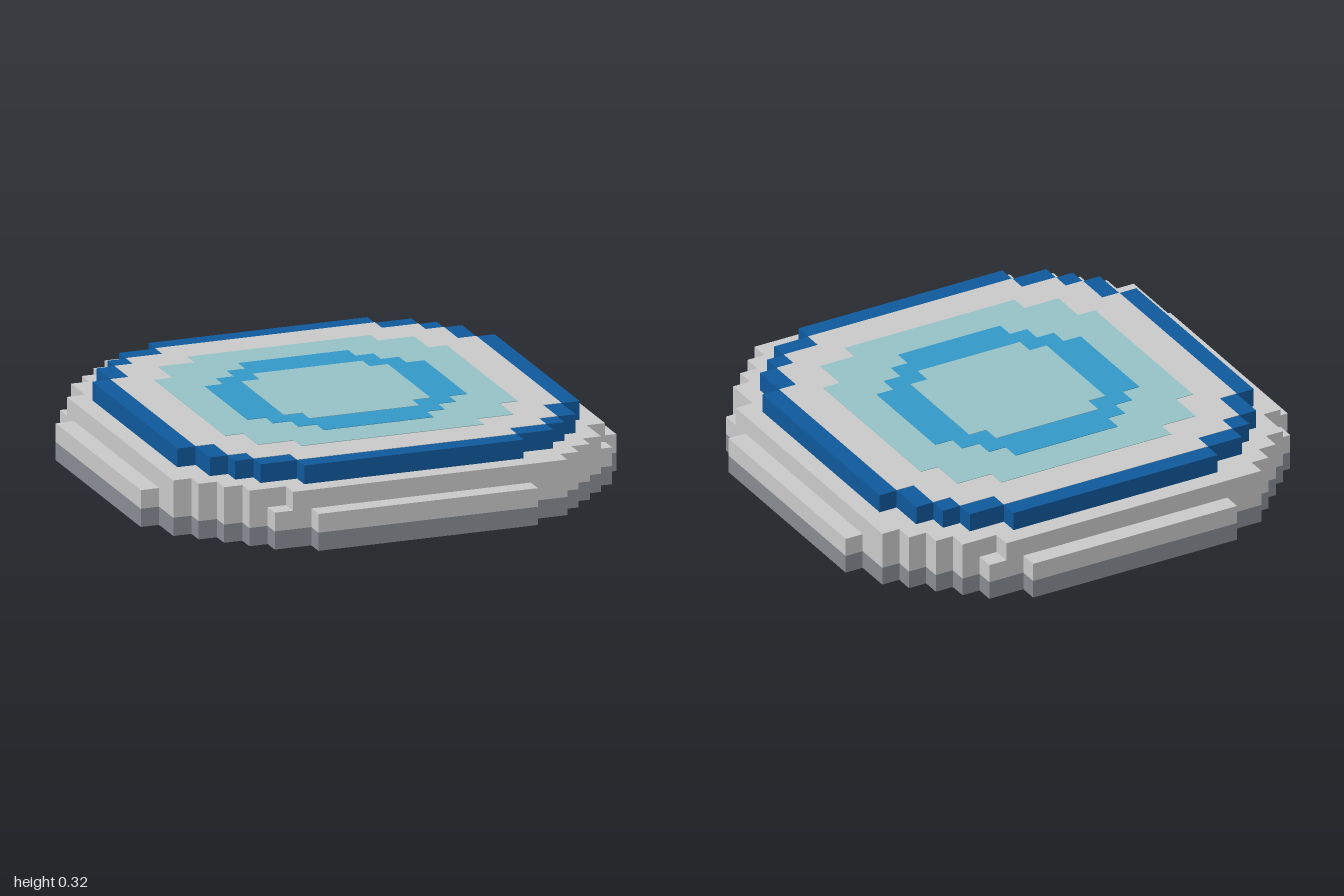
import * as THREE from 'three';

// One block of the stepped grid: the disc is 26 blocks wide
const U = 1 / 13;
const SKIN = 0.002;

const mat = (name, color) => {
  const m = new THREE.MeshStandardMaterial({ color });
  m.name = name;
  return m;
};

// Stepped outline: the corner steps are turned four times around the centre
function steppedShape(corner) {
  const points = [];
  for (let k = 0; k < 4; k++) {
    for (const [px, py] of corner) {
      let x = px, y = py;
      for (let i = 0; i < k; i++) [x, y] = [-y, x];
      points.push(new THREE.Vector2(x * U, y * U));
    }
  }
  return new THREE.Shape(points);
}

function slab(name, material, corner, bottom, top) {
  const geometry = new THREE.ExtrudeGeometry(steppedShape(corner), {
    depth: top - bottom, bevelEnabled: false,
  });
  geometry.rotateX(-Math.PI / 2);
  geometry.translate(0, bottom, 0);
  const mesh = new THREE.Mesh(geometry, material);
  mesh.name = name;
  return mesh;
}

export function createModel() {
  const lightGrey = mat('light grey', 0xc8c9c8);
  const darkGrey = mat('dark grey', 0x878b91);
  const deepBlue = mat('deep blue', 0x0f589b);
  const midBlue = mat('mid blue', 0x3498c8);
  const paleTeal = mat('pale teal', 0x96c1c6);

  // Corner steps in blocks, from the right side round to the back
  const outer = [[13, 6], [12, 6], [12, 8], [11, 8], [11, 9], [10, 9], [10, 10],
    [9, 10], [9, 11], [8, 11], [8, 12], [6, 12], [6, 13]];
  const underside = [[12, 6], [11, 6], [11, 8], [10, 8], [10, 9], [9, 9], [9, 10],
    [6, 10], [6, 12]];
  const ledge = [[12, 8], [11, 8], [11, 9], [10, 9], [10, 10], [9, 10], [9, 11],
    [7, 11], [7, 12]];
  const rim = [[11, 6], [10, 6], [10, 8], [9, 8], [9, 9], [8, 9], [8, 10], [6, 10], [6, 11]];
  const rimInside = [[10, 6], [9, 6], [9, 8], [8, 8], [8, 9], [6, 9], [6, 10]];
  const field = [[8, 5], [7, 5], [7, 7], [5, 7], [5, 8]];
  const ring = [[6, 3], [5, 3], [5, 4], [4, 4], [4, 5], [3, 5], [3, 6]];
  const centre = [[4, 3], [3, 3], [3, 4]];

  const group = new THREE.Group();
  group.name = 'steppedDisc';

  // Stacked body
  group.add(
    slab('undersidePanel', lightGrey, underside, 0, SKIN),
    slab('baseLayer', darkGrey, outer, SKIN, U),
    slab('lowerStep', lightGrey, outer, U, 2 * U),
    slab('upperStep', lightGrey, ledge, 2 * U, 3 * U),
    slab('blueRim', deepBlue, rim, 3 * U, 4 * U),
  );

  // Thin painted plates on the top face
  const plates = [
    ['topPanel', lightGrey, rimInside],
    ['tealField', paleTeal, field],
    ['blueRing', midBlue, ring],
    ['tealCentre', paleTeal, centre],
  ];
  plates.forEach(([name, material, corner], i) => {
    const y = 4 * U + i * SKIN;
    group.add(slab(name, material, corner, y, y + SKIN));
  });

  return group;
}
